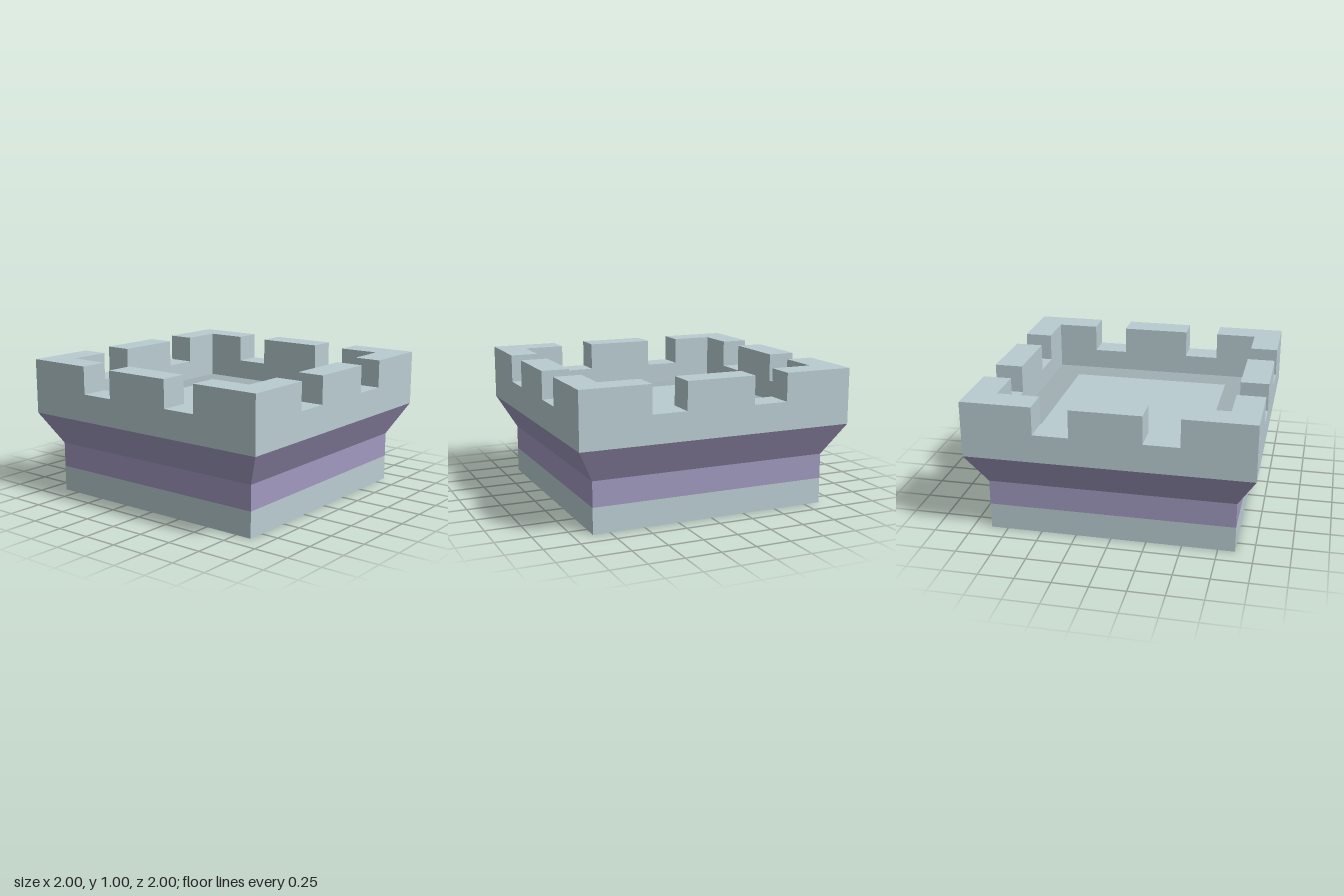
import * as THREE from 'three';

const material = (color) => new THREE.MeshStandardMaterial({ color, flatShading: true });
const stone = material(0xb9ccd1);
const darkStone = material(0xa0b0b4);
const purple = material(0xa098be);

function addPart(parent, name, geometry, mat) {
  const mesh = new THREE.Mesh(geometry, mat);
  mesh.name = name;
  parent.add(mesh);
  return mesh;
}

// Open square band between two heights, given by its half widths
function squareBand(bottomHalf, topHalf, y0, y1) {
  return new THREE.CylinderGeometry(topHalf * Math.SQRT2, bottomHalf * Math.SQRT2, y1 - y0, 4, 1, true)
    .rotateY(Math.PI / 4)
    .translate(0, (y0 + y1) / 2, 0)
    .toNonIndexed();
}

const squarePoints = (h) => [[-h, -h], [h, -h], [h, h], [-h, h]].map(([x, y]) => new THREE.Vector2(x, y));

// One crenellated wall on the +z side, mitred at its ends
function wallGeometry() {
  const profile = [
    [-1, 0.6], [1, 0.6], [1, 1], [0.5, 1], [0.5, 0.8], [0.25, 0.8], [0.25, 1],
    [-0.25, 1], [-0.25, 0.8], [-0.5, 0.8], [-0.5, 1], [-1, 1],
  ].map(([x, y]) => new THREE.Vector2(x, y));
  const geometry = new THREE.ExtrudeGeometry(new THREE.Shape(profile), { depth: 0.2, bevelEnabled: false });
  geometry.translate(0, 0, 0.8);
  const pos = geometry.attributes.position;
  for (let i = 0; i < pos.count; i++) {
    const limit = pos.getZ(i);
    pos.setX(i, THREE.MathUtils.clamp(pos.getX(i), -limit, limit));
  }
  geometry.computeVertexNormals();
  return geometry;
}

export function createModel() {
  const model = new THREE.Group();
  model.name = 'towerTop';

  // Base and coloured bands
  addPart(model, 'underside', new THREE.PlaneGeometry(1.74, 1.74).rotateX(Math.PI / 2), stone);
  addPart(model, 'base', squareBand(0.87, 0.87, 0, 0.185), stone);
  addPart(model, 'purpleBand', squareBand(0.87, 0.87, 0.185, 0.365), purple);
  addPart(model, 'purpleFlare', squareBand(0.87, 1, 0.365, 0.6), purple);

  // Battlements
  const battlements = new THREE.Group();
  battlements.name = 'battlements';
  model.add(battlements);
  const wall = wallGeometry();
  ['front', 'left', 'back', 'right'].forEach((side, i) => {
    addPart(battlements, side + 'Wall', wall, stone).rotation.y = i * Math.PI / 2;
  });

  // Sunken floor with a darker border
  const border = new THREE.Shape(squarePoints(0.8));
  border.holes.push(new THREE.Path(squarePoints(0.6)));
  addPart(model, 'floorBorder', new THREE.ShapeGeometry(border).rotateX(-Math.PI / 2).translate(0, 0.65, 0), darkStone);
  addPart(model, 'floor', new THREE.PlaneGeometry(1.2, 1.2).rotateX(-Math.PI / 2).translate(0, 0.65, 0), stone);

  return model;
}
